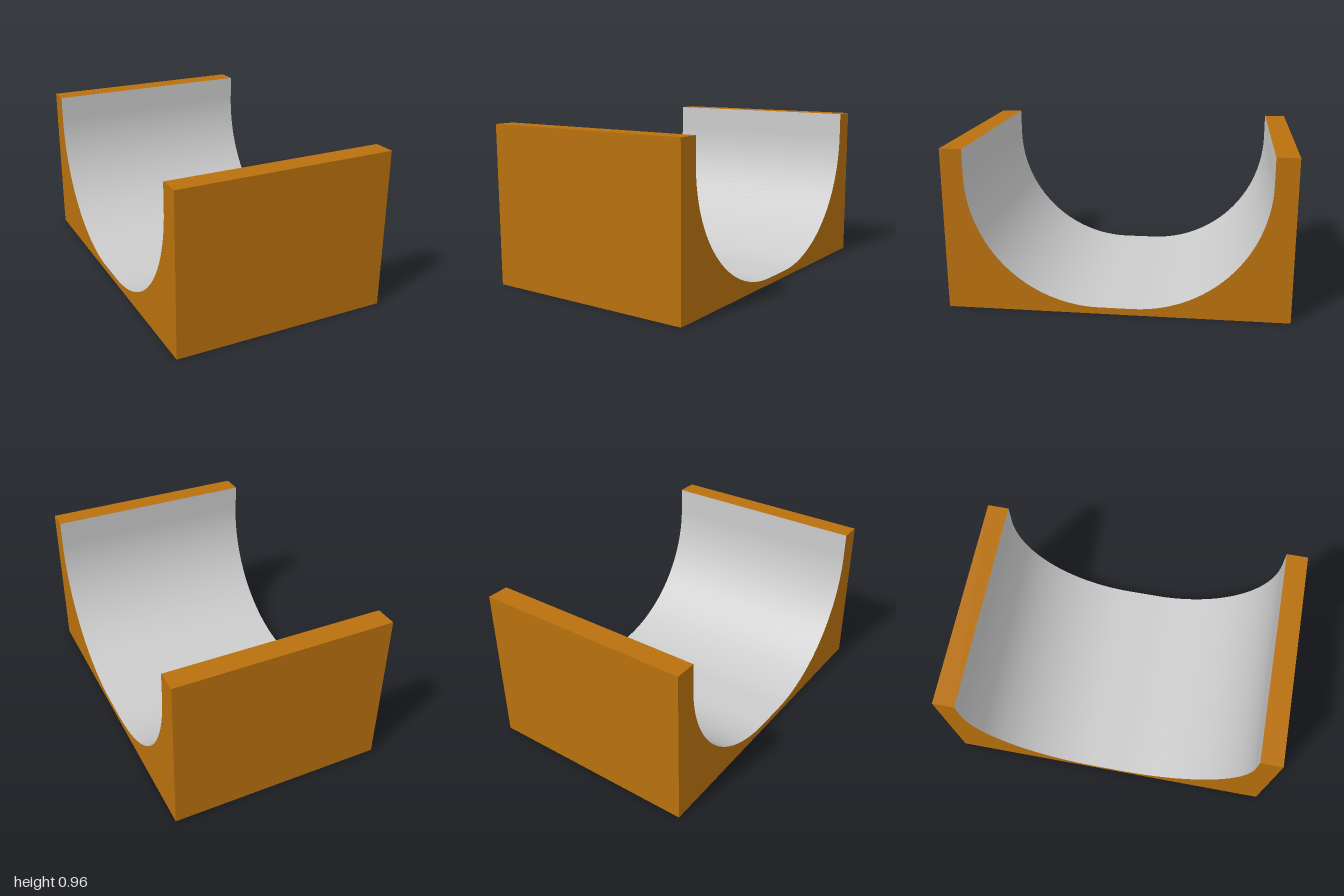
import * as THREE from 'three';

const HALF_WIDTH = 0.655;
const HEIGHT = 0.96;
const INNER = 0.87;   // half of the opening, along z
const FLAT = 0.1;     // half of the flat floor
const FLOOR = 0.04;
const RADIUS = INNER - FLAT;
const ARC_STEPS = 32;

// Sweeps a (z, y) polyline across the width; the visible side is on its left
function sweep(points) {
  const positions = [], index = [];
  points.forEach((p, i) => {
    positions.push(-HALF_WIDTH, p.y, p.x, HALF_WIDTH, p.y, p.x);
    if (i > 0) {
      const a = 2 * (i - 1);
      index.push(a, a + 2, a + 1, a + 1, a + 2, a + 3);
    }
  });
  const geometry = new THREE.BufferGeometry();
  geometry.setAttribute('position', new THREE.Float32BufferAttribute(positions, 3));
  geometry.setIndex(index);
  geometry.computeVertexNormals();
  return geometry;
}

// Hollow: wall, quarter arc, flat floor, quarter arc, wall
function hollowProfile() {
  const half = [new THREE.Vector2(INNER, HEIGHT)];
  for (let i = 0; i <= ARC_STEPS; i++) {
    const t = (i / ARC_STEPS) * Math.PI / 2;
    half.push(new THREE.Vector2(FLAT + RADIUS * Math.cos(t), FLOOR + RADIUS * (1 - Math.sin(t))));
  }
  const mirrored = half.map(p => new THREE.Vector2(-p.x, p.y));
  return [...mirrored, ...half.reverse()];
}

export function createModel() {
  const group = new THREE.Group();
  group.name = 'cradle';
  const orange = new THREE.MeshStandardMaterial({ color: 0xb8700d });
  const grey = new THREE.MeshStandardMaterial({ color: 0xcccccc });

  const add = (name, geometry, material) => {
    const mesh = new THREE.Mesh(geometry, material);
    mesh.name = name;
    group.add(mesh);
    return mesh;
  };

  // Smooth curved lining
  const hollow = hollowProfile();
  add('hollowSurface', sweep(hollow), grey);

  // Rims, front, bottom and back, with sharp edges
  const outer = [[INNER, HEIGHT], [1, HEIGHT], [1, 0], [-1, 0], [-1, HEIGHT], [-INNER, HEIGHT]]
    .map(([z, y]) => new THREE.Vector2(z, y));
  const shell = sweep(outer).toNonIndexed();
  shell.computeVertexNormals();
  add('outerShell', shell, orange);

  // End faces, cut by the hollow
  const endShape = new THREE.Shape([...hollow, ...outer.slice(1, -1)]);
  for (const [name, side] of [['leftEnd', 1], ['rightEnd', -1]]) {
    const end = add(name, new THREE.ShapeGeometry(endShape), orange);
    end.rotation.y = side * Math.PI / 2;
    end.position.x = side * HALF_WIDTH;
  }
  return group;
}
